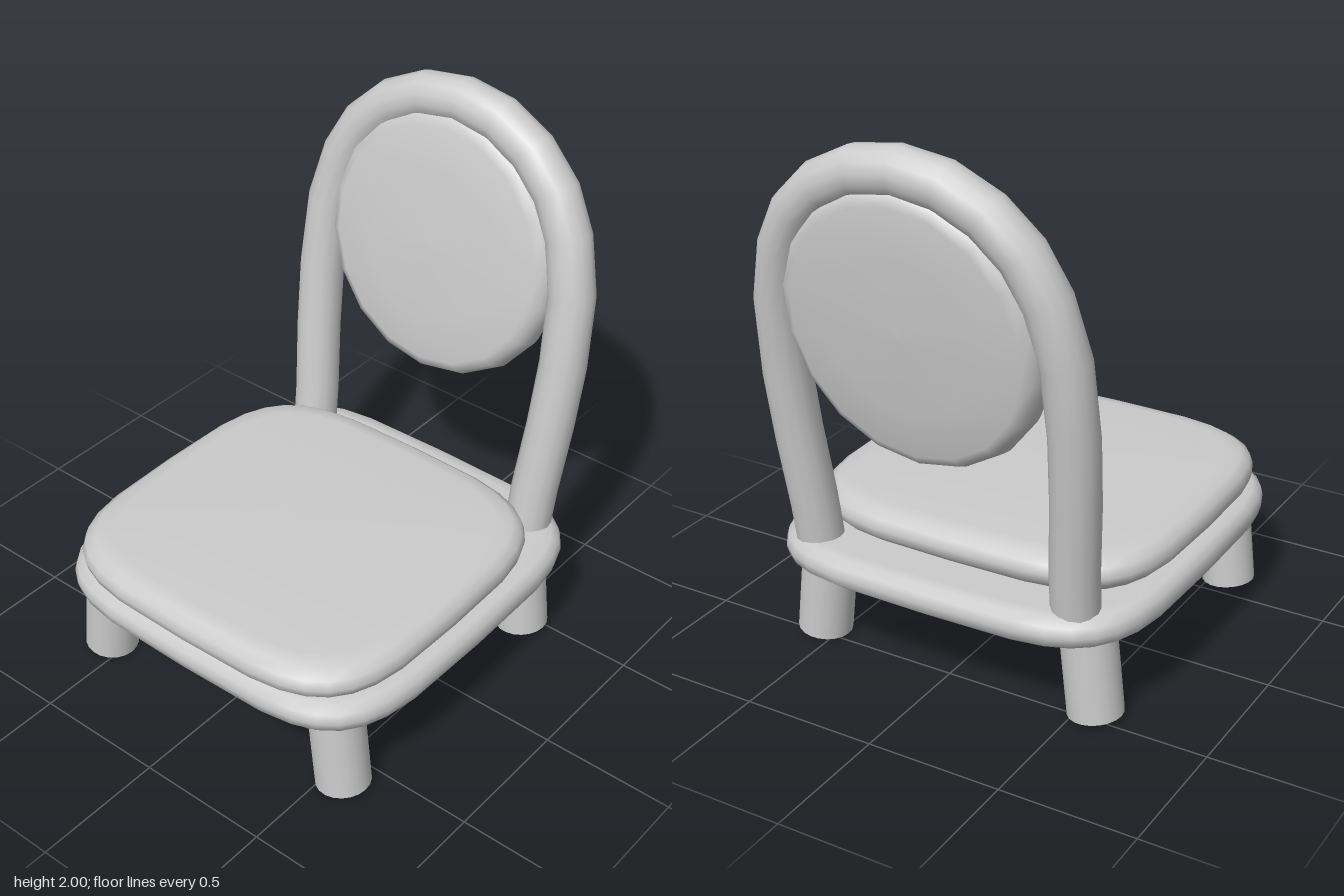
import * as THREE from 'three';

const material = new THREE.MeshStandardMaterial({ color: 0xcccccc });
const LEAN = 0.14; // backward slope of the backrest
const leanZ = (y) => -0.53 - LEAN * (y - 0.45);

function addMesh(parent, name, geometry) {
  const mesh = new THREE.Mesh(geometry, material);
  mesh.name = name;
  parent.add(mesh);
  return mesh;
}

// Rounded-square slab: superellipse rings, each given as [scale, y], from bottom to top
function slab(hx, hz, power, rings, n = 32) {
  const pos = [], index = [];
  const bend = (v) => Math.sign(v) * Math.abs(v) ** (2 / power);
  for (const [s, y] of rings) {
    for (let i = 0; i < n; i++) {
      const a = (i / n) * Math.PI * 2;
      pos.push(bend(Math.cos(a)) * hx * s, y, bend(Math.sin(a)) * hz * s);
    }
  }
  for (let r = 0; r < rings.length - 1; r++) {
    for (let i = 0; i < n; i++) {
      const a = r * n + i, b = r * n + ((i + 1) % n);
      index.push(a, a + n, b, b, a + n, b + n);
    }
  }
  const g = new THREE.BufferGeometry();
  g.setAttribute('position', new THREE.Float32BufferAttribute(pos, 3));
  g.setIndex(index);
  g.computeVertexNormals();
  return g;
}

export function createModel() {
  const chair = new THREE.Group();
  chair.name = 'chair';

  // Seat base and cushion
  const base = addMesh(chair, 'seatBase', slab(0.732, 0.755, 4.5, [
    [0, 0.32], [0.9, 0.32], [0.955, 0.325], [0.99, 0.347], [1, 0.38],
    [0.99, 0.415], [0.955, 0.437], [0.9, 0.442], [0, 0.442],
  ]));
  base.position.z = 0.062;
  const cushion = addMesh(chair, 'seatCushion', slab(0.688, 0.663, 4, [
    [0, 0.435], [0.9, 0.435], [0.955, 0.445], [0.99, 0.47], [1, 0.5],
    [0.985, 0.535], [0.94, 0.559], [0.86, 0.569], [0.5, 0.576], [0, 0.578],
  ]));
  cushion.position.z = 0.15;

  // Four splayed legs
  for (const side of [1, -1]) {
    for (const [end, z] of [['front', 0.615], ['back', -0.46]]) {
      const name = end + (side > 0 ? 'LeftLeg' : 'RightLeg');
      const leg = addMesh(chair, name, new THREE.CylinderGeometry(0.1, 0.1, 0.37, 20));
      leg.position.set(side * 0.543, 0.195, z);
      leg.rotation.z = side * 0.11;
    }
  }

  // Leaning arched tube; the rings sit on the path points
  const half = [
    [0.515, 0.37], [0.523, 0.58], [0.545, 0.85], [0.556, 1.1], [0.545, 1.37],
    [0.495, 1.57], [0.42, 1.71], [0.305, 1.82], [0.16, 1.892],
  ];
  const outline = [...half, [0, 1.915], ...half.map(([x, y]) => [-x, y]).reverse()];
  const path = new THREE.CatmullRomCurve3(
    outline.map(([x, y]) => new THREE.Vector3(x, y, leanZ(y))));
  path.getPointAt = path.getPoint;
  path.getTangentAt = path.getTangent;
  addMesh(chair, 'backFrame', new THREE.TubeGeometry(path, outline.length - 1, 0.086, 14));

  // Domed round back pad
  const dome = [[0.5, 0], [0.493, 0.035], [0.475, 0.07], [0.44, 0.088], [0.28, 0.103], [0, 0.11]];
  const profile = [...dome.slice(1).map(([r, h]) => [r, -h]).reverse(), ...dome];
  const padGeometry = new THREE.LatheGeometry(
    profile.map(([r, h]) => new THREE.Vector2(r, h)), 18);
  padGeometry.rotateX(Math.PI / 2);
  padGeometry.scale(0.985, 1.02, 1);
  const pad = addMesh(chair, 'backPad', padGeometry);
  pad.position.set(0, 1.385, leanZ(1.385));
  pad.rotation.x = -Math.atan(LEAN);

  return chair;
}
